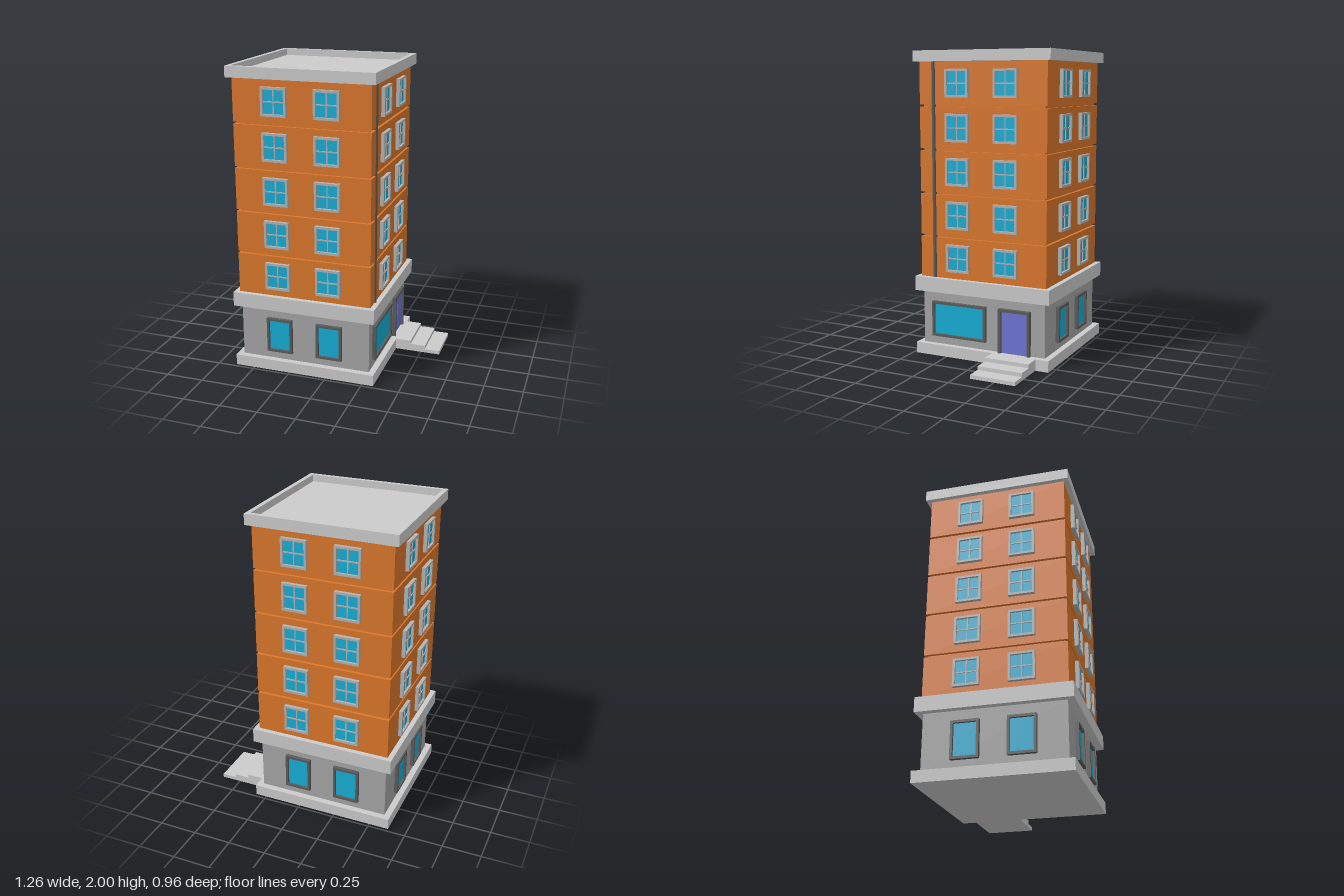
import * as THREE from 'three';

const material = (color) => new THREE.MeshStandardMaterial({ color });
const stone = material(0xcccccc);
const plaster = material(0xa6a6a6);
const brick = material(0xdb772b);
const glass = material(0x17aed6);
const trim = material(0xb4b4b4);
const darkTrim = material(0x5c5c5c);
const doorPaint = material(0x6e74d6);

const CX = -0.1525; // the tower stands off-centre to leave room for the steps

function add(parent, name, geometry, mat, x = 0, y = 0, z = 0) {
  const mesh = new THREE.Mesh(geometry, mat);
  mesh.name = name;
  mesh.position.set(x, y, z);
  parent.add(mesh);
  return mesh;
}

function box(parent, name, mat, w, h, d, x, y, z) {
  return add(parent, name, new THREE.BoxGeometry(w, h, d), mat, x, y, z);
}

// Square storey of half width r between two heights
function slab(parent, name, mat, r, y0, y1) {
  return box(parent, name, mat, 2 * r, y1 - y0, 2 * r, 0, (y0 + y1) / 2, 0);
}

function rectangle(PathType, w, h) {
  const p = new PathType();
  p.moveTo(-w / 2, -h / 2);
  p.lineTo(w / 2, -h / 2);
  p.lineTo(w / 2, h / 2);
  p.lineTo(-w / 2, h / 2);
  p.closePath();
  return p;
}

// Rectangular ring of given border, extruded along +z
function ring(w, h, border, depth) {
  const shape = rectangle(THREE.Shape, w, h);
  shape.holes.push(rectangle(THREE.Path, w - 2 * border, h - 2 * border));
  return new THREE.ExtrudeGeometry(shape, { depth, bevelEnabled: false });
}

// Framed window facing +z, its back on the wall plane
function makeWindow(name, w, h, frameMat, border, depth, crossed) {
  const g = new THREE.Group();
  g.name = name;
  add(g, 'frame', ring(w, h, border, depth), frameMat);
  box(g, 'pane', glass, w - 2 * border, h - 2 * border, 0.008, 0, 0, 0.004);
  if (crossed) {
    box(g, 'verticalBar', frameMat, 0.008, h - 2 * border, 0.014, 0, 0, 0.007);
    box(g, 'horizontalBar', frameMat, w - 2 * border, 0.008, 0.014, 0, 0, 0.007);
  }
  return g;
}

// Double door with a frame open at the bottom, facing +z
function makeDoor(w, h) {
  const g = new THREE.Group();
  g.name = 'door';
  const b = 0.018, d = 0.026;
  for (const s of [-1, 1]) {
    box(g, 'doorJamb', darkTrim, b, h, d, s * (w - b) / 2, h / 2, d / 2);
    const leaf = w / 2 - b - 0.003;
    box(g, 'doorLeaf', doorPaint, leaf, h - b, 0.01, s * (leaf / 2 + 0.003), (h - b) / 2, 0.005);
  }
  box(g, 'doorLintel', darkTrim, w - 2 * b, b, d, 0, h - b / 2, d / 2);
  box(g, 'doorSeam', doorPaint, 0.006, h - b, 0.006, 0, (h - b) / 2, 0.003);
  return g;
}

export function createModel() {
  const model = new THREE.Group();
  model.name = 'apartmentBuilding';
  const tower = new THREE.Group();
  tower.name = 'tower';
  tower.position.x = CX;
  model.add(tower);

  // Plinth, ground floor and cornice
  slab(tower, 'plinth', stone, 0.4775, 0, 0.073);
  slab(tower, 'groundFloor', plaster, 0.437, 0.073, 0.43);
  slab(tower, 'cornice', stone, 0.48, 0.43, 0.525);

  // Brick storeys separated by recessed joints
  const floors = 5, pitch = 0.2826, joint = 0.014, wall = 0.447;
  slab(tower, 'brickCore', brick, wall - 0.02, 0.525, 1.93);
  for (let i = 0; i < floors; i++) {
    const y0 = 0.525 + i * pitch;
    slab(tower, 'brickStorey', brick, wall, y0, i === floors - 1 ? 1.93 : y0 + pitch - joint);
  }

  // Roof deck with raised parapet
  slab(tower, 'roofDeck', stone, 0.449, 1.93, 1.955);
  const parapet = add(tower, 'parapet', ring(0.956, 0.956, 0.03, 0.07), stone, 0, 1.93, 0);
  parapet.rotation.x = -Math.PI / 2;
  parapet.position.y = 1.93;

  // Four facades: 0 front, 1 entrance side (+x), 2 back, 3 far side
  for (let side = 0; side < 4; side++) {
    const facade = new THREE.Group();
    facade.name = 'facade';
    facade.rotation.y = side * Math.PI / 2;
    tower.add(facade);
    for (const x of [-0.17, 0.17]) {
      for (let i = 0; i < floors; i++) {
        const win = makeWindow('upperWindow', 0.165, 0.18, trim, 0.015, 0.023, true);
        win.position.set(x, 0.662 + i * pitch, wall);
        facade.add(win);
      }
      if (side !== 1) {
        const win = makeWindow('groundWindow', 0.173, 0.235, darkTrim, 0.016, 0.024, false);
        win.position.set(x, 0.245, 0.437);
        facade.add(win);
      }
    }
    if (side === 1) {
      const shop = makeWindow('shopWindow', 0.392, 0.235, darkTrim, 0.016, 0.024, false);
      shop.position.set(-0.169, 0.245, 0.437);
      const door = makeDoor(0.22, 0.292);
      door.position.set(0.23, 0.073, 0.437);
      facade.add(shop, door);
      // Drainpipe beside the front corner
      add(facade, 'drainpipe', new THREE.CylinderGeometry(0.014, 0.014, 1.405, 12),
        darkTrim, -0.346, 1.2275, wall - 0.005);
    }
  }

  // Entrance steps
  for (let i = 0; i < 3; i++) {
    const h = 0.073 - i * 0.0243;
    const x0 = i === 0 ? 0.325 : 0.328 + i * 0.101;
    const x1 = 0.328 + (i + 1) * 0.101;
    box(model, 'step', stone, x1 - x0, h, 0.303, (x0 + x1) / 2, h / 2, -0.238);
  }
  return model;
}
